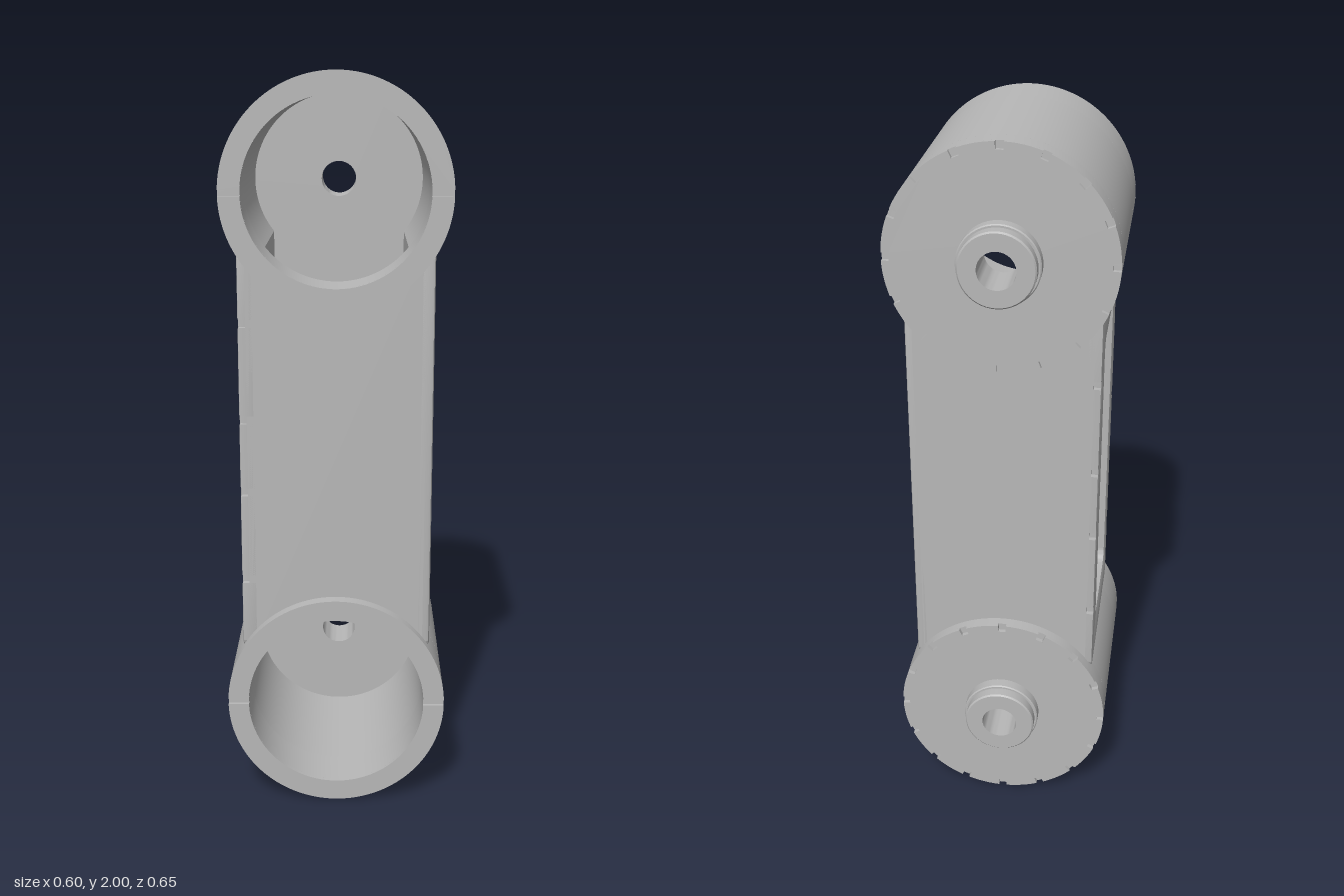
import * as THREE from 'three';
import { toCreasedNormals } from 'three/addons/utils/BufferGeometryUtils.js';

const PI = Math.PI;
const JOINTS = [1.7, 0.3];          // heights of the two joint drums
const R = 0.3, BORE = 0.243, HOLE = 0.05;
const CORE = 0.238, SIDE = 0.258;   // half widths of arm core and side plates
const ARM_FRONT = 0.29, ARM_BACK = -0.225;

export function createModel() {
  const model = new THREE.Group();
  model.name = 'jointedArmLink';
  const grey = new THREE.MeshStandardMaterial({ color: 0xb8b8b8 });
  grey.name = 'castGrey';

  const add = (name, geometry, y = 0) => {
    const mesh = new THREE.Mesh(toCreasedNormals(geometry, 0.5), grey);
    mesh.name = name;
    mesh.position.y = y;
    model.add(mesh);
  };
  // extrude an XY shape between two z planes
  const slab = (shape, z0, z1) =>
    new THREE.ExtrudeGeometry(shape, { depth: z1 - z0, bevelEnabled: false, curveSegments: 48 })
      .translate(0, 0, z0);
  const circle = (path, r) => path.absarc(0, 0, r, 0, 2 * PI, false);

  // two discs joined by a straight waist
  const dumbbell = (path, r, w) => {
    const a = Math.asin(w / r);
    path.absarc(0, JOINTS[0], r, -PI / 2 + a, 1.5 * PI - a, false);
    path.absarc(0, JOINTS[1], r, PI / 2 + a, 2.5 * PI - a, false);
    path.closePath();
    return path;
  };

  // hollow middle of the body, with both bores opening into the arm
  const body = dumbbell(new THREE.Shape(), R, CORE);
  body.holes.push(dumbbell(new THREE.Path(), BORE, 0.19));
  add('hollowBody', slab(body, -0.2, 0.188));

  // front and back walls of the arm, scooped to meet the drums
  const wall = new THREE.Shape();
  const a = Math.asin(CORE / 0.27);
  wall.absarc(0, JOINTS[0], 0.27, -PI / 2 + a, -PI / 2 - a, true);
  wall.absarc(0, JOINTS[1], 0.27, PI / 2 + a, PI / 2 - a, true);
  wall.closePath();
  add('armFrontWall', slab(wall, 0.188, ARM_FRONT));
  add('armBackWall', slab(wall, ARM_BACK, -0.2));

  // drum shapes
  const ring = circle(new THREE.Shape(), R);
  ring.holes.push(circle(new THREE.Path(), BORE));
  const floor = circle(new THREE.Shape(), R);
  floor.holes.push(circle(new THREE.Path(), HOLE));

  // half of the front lip, leaving a thin slot at either side
  const halfLip = new THREE.Shape();
  const so = Math.asin(0.008 / R), si = Math.asin(0.008 / BORE);
  halfLip.absarc(0, 0, R, so, PI - so, false);
  halfLip.absarc(0, 0, BORE, PI - si, si, true);
  halfLip.closePath();

  // rear disc with sixteen notches round its rim
  const notched = new THREE.Shape();
  const hw = 0.011 / R;
  for (let i = 0; i < 16; i++) {
    const t = i * PI / 8, n = R - 0.02;
    notched.lineTo(n * Math.cos(t - hw), n * Math.sin(t - hw));
    notched.lineTo(n * Math.cos(t + hw), n * Math.sin(t + hw));
    for (let k = 0; k <= 6; k++) {
      const u = t + hw + (PI / 8 - 2 * hw) * k / 6;
      notched.lineTo(R * Math.cos(u), R * Math.sin(u));
    }
  }
  notched.curves.shift();           // drop the segment from the origin
  notched.closePath();
  notched.holes.push(circle(new THREE.Path(), HOLE));

  // stepped hollow boss, turned about z
  const bossProfile = [
    [0.108, 0.25], [0.108, 0.292], [0.105, 0.295], [0.1, 0.295],
    [0.1, 0.323], [0.096, 0.327], [HOLE, 0.327], [HOLE, 0.2],
  ].map(([x, y]) => new THREE.Vector2(x, y));

  for (const [i, y] of JOINTS.entries()) {
    const p = i === 0 ? 'upper' : 'lower';
    add(p + 'DrumFront', slab(ring, 0.188, 0.315), y);
    add(p + 'LipTop', slab(halfLip, 0.315, 0.325), y);
    add(p + 'LipBottom', slab(halfLip, 0.315, 0.325).rotateZ(PI), y);
    add(p + 'DrumFloor', slab(floor, -0.251, -0.2), y);
    add(p + 'NotchedDisc', slab(notched, -0.263, -0.251), y);
    add(p + 'Boss', new THREE.LatheGeometry(bossProfile, 48).rotateX(-PI / 2), y);
  }

  // rounded rectangle, optionally notched along its long edges
  const panel = (path, x0, x1, y0, y1, r, notches = []) => {
    const d = 0.014, h = 0.011;
    path.absarc(x1 - r, y0 + r, r, -PI / 2, 0, false);
    for (const y of notches)
      [[x1, y - h], [x1 - d, y - h], [x1 - d, y + h], [x1, y + h]].forEach((q) => path.lineTo(...q));
    path.absarc(x1 - r, y1 - r, r, 0, PI / 2, false);
    path.absarc(x0 + r, y1 - r, r, PI / 2, PI, false);
    for (const y of [...notches].reverse())
      [[x0, y + h], [x0 + d, y + h], [x0 + d, y - h], [x0, y - h]].forEach((q) => path.lineTo(...q));
    path.absarc(x0 + r, y0 + r, r, PI, 1.5 * PI, false);
    path.closePath();
    return path;
  };

  // side plates with a recessed panel; the right one has screw notches
  for (const s of [1, -1]) {
    const span = (p, q) => [-s * p, -s * q].sort((m, n) => m - n);
    const bevel = s > 0 ? 0.01 : 0.004;
    const plate = panel(new THREE.Shape(), ...span(ARM_BACK, ARM_FRONT), 0.448, 1.552, 0.025,
      s > 0 ? [] : [0.65, 0.9, 1.1, 1.36]);
    plate.holes.push(panel(new THREE.Path(), ...span(-0.125, 0.19), 0.565, 1.44, 0.035));
    const thick = SIDE - 0.216;
    const geometry = new THREE.ExtrudeGeometry(plate, {
      depth: thick - 2 * bevel, bevelThickness: bevel, bevelSize: bevel,
      bevelOffset: -bevel, bevelSegments: 2, curveSegments: 8,
    });
    geometry.translate(0, 0, 0.216 + bevel).rotateY(s * PI / 2);
    add(s > 0 ? 'leftSidePlate' : 'rightSidePlate', geometry);
  }

  return model;
}
